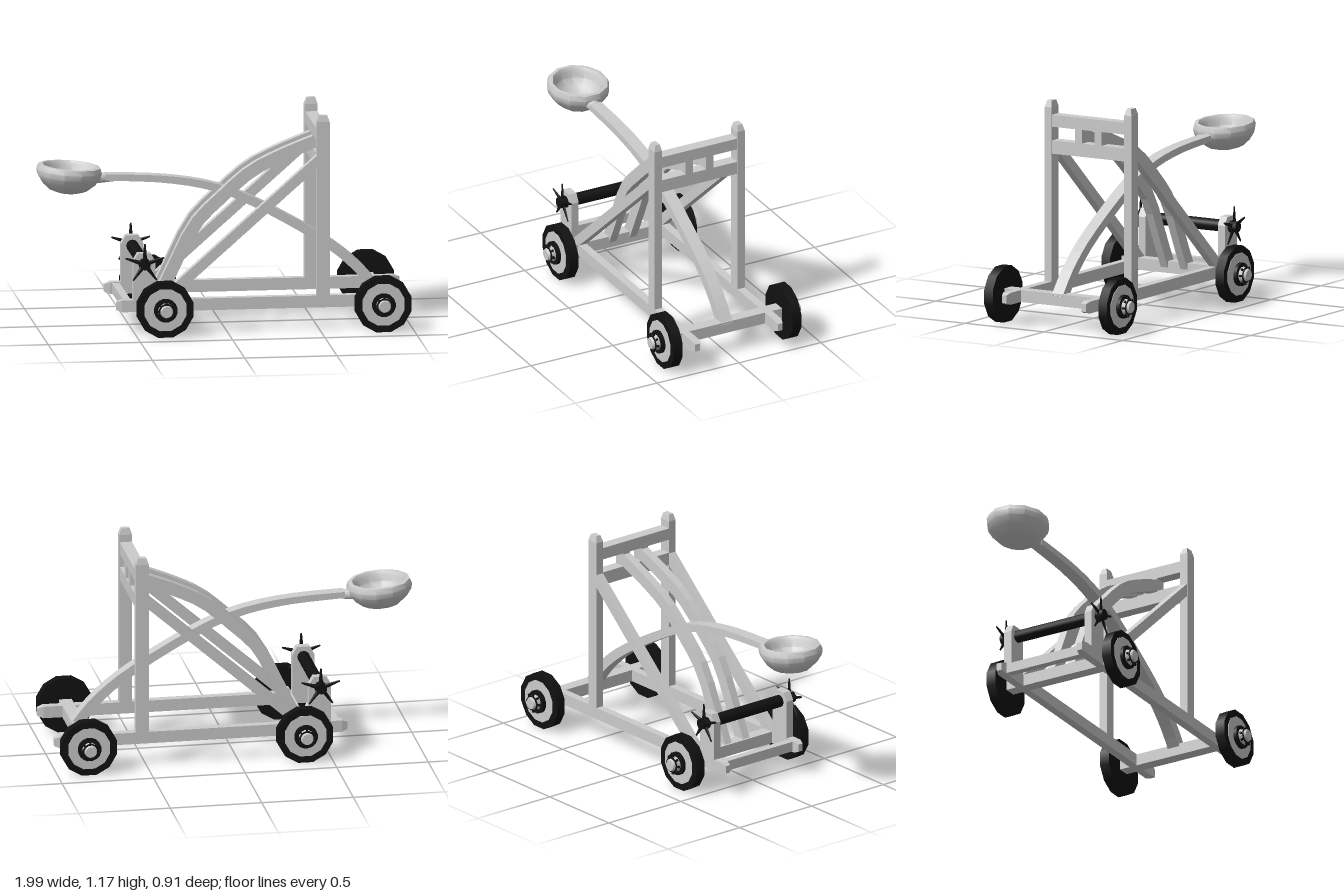
import * as THREE from 'three';
import { toCreasedNormals } from 'three/addons/utils/BufferGeometryUtils.js';

const grey = new THREE.MeshStandardMaterial({ color: 0xcccccc });
const black = new THREE.MeshStandardMaterial({ color: 0x111111 });

export function createModel() {
  const model = new THREE.Group();

  function add(name, geo, mat = grey, x = 0, y = 0, z = 0, parent = model) {
    const mesh = new THREE.Mesh(geo, mat);
    mesh.name = name;
    mesh.position.set(x, y, z);
    parent.add(mesh);
    return mesh;
  }

  // Box given by its limits
  function bar(name, x0, x1, y0, y1, z0, z1) {
    return add(name, new THREE.BoxGeometry(x1 - x0, y1 - y0, z1 - z0), grey,
      (x0 + x1) / 2, (y0 + y1) / 2, (z0 + z1) / 2);
  }

  // Beam along x with tapered ends
  function taperedBeam(length, h, w, taper, bothEnds = true) {
    const geo = new THREE.BoxGeometry(length, h, w, 3, 1, 1);
    const p = geo.attributes.position;
    for (let i = 0; i < p.count; i++) {
      const x = p.getX(i);
      const s = Math.sign(x);
      if (Math.abs(x) < length * 0.4) p.setX(i, s * (length / 2 - taper));
      else if (bothEnds || s > 0) {
        p.setY(i, p.getY(i) * 0.65);
        p.setZ(i, p.getZ(i) * 0.65);
      }
    }
    const flat = geo.toNonIndexed();
    flat.computeVertexNormals();
    return flat;
  }

  // Plank following a curve in the xy plane, thickness running from t0 to t1
  function curvedPlank(points, t0, t1, depth, steps) {
    const curve = new THREE.SplineCurve(points.map(([x, y]) => new THREE.Vector2(x, y)));
    const upper = [], lower = [];
    for (let i = 0; i <= steps; i++) {
      const u = i / steps;
      const c = curve.getPoint(u), d = curve.getTangent(u);
      const n = new THREE.Vector2(-d.y, d.x).multiplyScalar((t0 + (t1 - t0) * u) / 2);
      upper.push(c.clone().add(n));
      lower.unshift(c.clone().sub(n));
    }
    const geo = new THREE.ExtrudeGeometry(new THREE.Shape([...upper, ...lower]),
      { depth, bevelEnabled: false });
    return geo.translate(0, 0, -depth / 2);
  }

  // Base frame
  for (const x of [-0.35, 0.832]) bar('axleBeam', x - 0.035, x + 0.035, 0.125, 0.19, -0.36, 0.36);
  bar('endCrossbar', -0.56, -0.518, 0.13, 0.185, -0.25, 0.25);

  for (const s of [-1, 1]) {
    const z = s * 0.2525;
    add('sideRail', taperedBeam(1.6, 0.065, 0.045, 0.03), grey, 0.2, 0.1575, z);
    const post = add('post', taperedBeam(1.02, 0.07, 0.045, 0.035, false), grey, 0.52, 0.665, z);
    post.rotation.z = Math.PI / 2;
    add('straightBrace', curvedPlank([[-0.365, 0.17], [0.51, 0.942]], 0.055, 0.055, 0.044, 1), grey, 0, 0, z);
    add('curvedBrace', curvedPlank([[-0.35, 0.16], [-0.28, 0.3], [-0.155, 0.55], [-0.01, 0.7],
      [0.15, 0.838], [0.32, 0.925], [0.51, 1.0]], 0.068, 0.068, 0.045, 14), grey, 0, 0, s * 0.0625);
    bar('windowUpright', 0.487, 0.553, 0.95, 1.045, s * 0.0625 - 0.0225, s * 0.0625 + 0.0225);

    // Winch bearing plate with rounded top
    const plate = new THREE.Shape();
    plate.moveTo(-0.06, 0.16);
    plate.lineTo(0.06, 0.16);
    plate.lineTo(0.06, 0.4);
    plate.lineTo(0.035, 0.445);
    plate.lineTo(-0.035, 0.445);
    plate.lineTo(-0.06, 0.4);
    const plateGeo = new THREE.ExtrudeGeometry(plate, { depth: 0.045, bevelEnabled: false });
    add('winchSupport', plateGeo.translate(0, 0, -0.0225), grey, -0.45, 0, z);

    // Winch handle: hub with five tapered spokes
    const handle = new THREE.Group();
    handle.name = 'winchHandle';
    handle.position.set(-0.45, 0.39, s * 0.297);
    model.add(handle);
    add('handleHub', new THREE.CylinderGeometry(0.03, 0.03, 0.05, 10).rotateX(Math.PI / 2), black, 0, 0, 0, handle);
    for (let i = 0; i < 5; i++) {
      const spoke = add('handleSpoke', new THREE.CylinderGeometry(0.005, 0.016, 0.11, 6)
        .translate(0, 0.055, 0), black, 0, 0, 0, handle);
      spoke.scale.z = 0.5;
      spoke.rotation.z = i * Math.PI * 2 / 5;
    }
  }

  // Head frame
  bar('topBeam', 0.487, 0.553, 1.035, 1.1, -0.235, 0.235);
  bar('stopBeam', 0.487, 0.553, 0.888, 0.96, -0.235, 0.235);

  // Winch drum
  add('winchDrum', new THREE.CylinderGeometry(0.033, 0.033, 0.56, 12).rotateX(Math.PI / 2), black, -0.45, 0.388, 0);

  // Throwing arm
  add('throwingArm', curvedPlank([[0.845, 0.16], [0.73, 0.3], [0.545, 0.45], [0.2, 0.65],
    [-0.04, 0.75], [-0.31, 0.8], [-0.63, 0.818]], 0.06, 0.034, 0.07, 20));
  const neck = add('bowlNeck', new THREE.CylinderGeometry(0.028, 0.042, 0.11, 8)
    .rotateZ(-Math.PI / 2), grey, -0.625, 0.812, 0);
  neck.scale.y = 0.75;

  // Bowl
  const profile = [[0, -0.09], [0.05, -0.086], [0.1, -0.07], [0.14, -0.035], [0.166, 0.005], [0.172, 0.035],
    [0.162, 0.062], [0.142, 0.064], [0.13, 0.045], [0.122, 0.01], [0.09, -0.03], [0.045, -0.05], [0, -0.055]];
  const bowlGeo = new THREE.LatheGeometry(profile.map(([r, y]) => new THREE.Vector2(r, y)), 12, Math.PI / 12);
  const bowlMat = grey.clone();
  bowlMat.side = THREE.DoubleSide;
  const bowl = add('bowl', toCreasedNormals(bowlGeo, 0.6), bowlMat, -0.825, 0.82, 0);
  bowl.scale.set(1.04, 1, 0.99);
  bowl.rotation.z = -0.08;

  // Wheels, built along +z
  const disc = (r0, r1, depth, sides) =>
    new THREE.CylinderGeometry(r1, r0, depth, sides, 1, false, Math.PI / sides).rotateX(Math.PI / 2);
  for (const x of [-0.35, 0.832]) for (const s of [-1, 1]) {
    const wheel = new THREE.Group();
    wheel.name = 'wheel';
    wheel.position.set(x, 0.154, 0);
    if (s < 0) wheel.rotation.y = Math.PI;
    model.add(wheel);
    add('tyre', disc(0.156, 0.156, 0.055, 12), black, 0, 0, 0.3625, wheel);
    add('wheelDisc', disc(0.118, 0.118, 0.006, 12), grey, 0, 0, 0.39, wheel);
    add('hubPlate', disc(0.064, 0.064, 0.025, 16), black, 0, 0, 0.4, wheel);
    add('hub', disc(0.043, 0.043, 0.03, 12), grey, 0, 0, 0.422, wheel);
    add('hubRing', disc(0.044, 0.044, 0.005, 12), black, 0, 0, 0.438, wheel);
    add('axleEnd', disc(0.036, 0.03, 0.014, 12), grey, 0, 0, 0.446, wheel);
    for (let i = 0; i < 8; i++) {
      const a = i * Math.PI / 4;
      const pin = add('hubPin', new THREE.BoxGeometry(0.022, 0.01, 0.01), black,
        Math.cos(a) * 0.044, Math.sin(a) * 0.044, 0.43, wheel);
      pin.rotation.z = a;
    }
  }
  return model;
}
